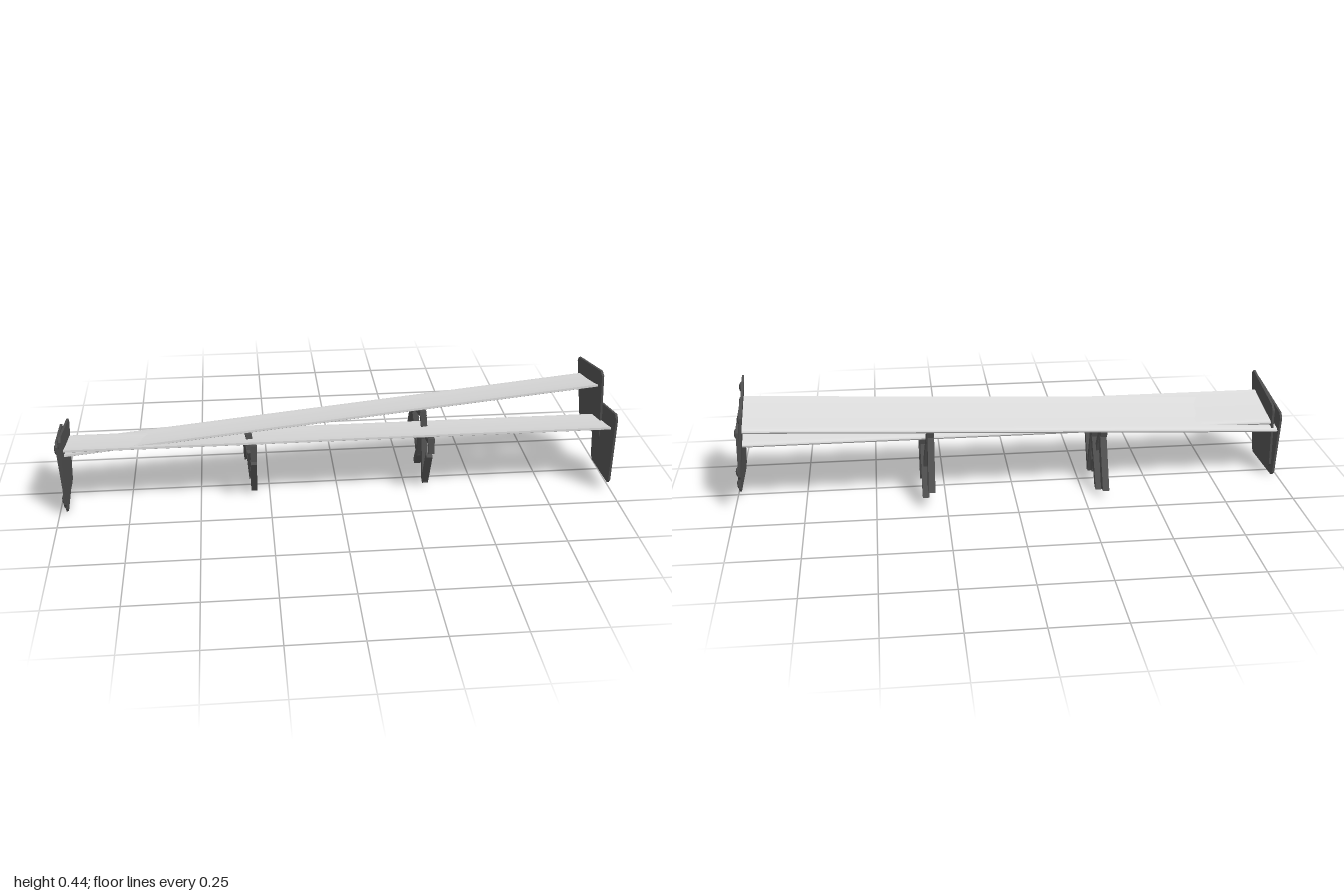
import * as THREE from 'three';

const lightSkin = new THREE.MeshStandardMaterial({ name: 'light grey', color: 0xdadada });
const dark = new THREE.MeshStandardMaterial({ name: 'dark grey', color: 0x4e4e4e });

// Points below are [z, y] pairs in the side plane.
const UPPER = [[-0.04, 0.21], [-0.036, 0.217], [-0.02, 0.222], [0.03, 0.23], [0.08, 0.24], [0.13, 0.251], [0.17, 0.262]];
const LOWER = [[0.17, 0.254], [0.135, 0.236], [0.09, 0.22], [0.04, 0.207], [0, 0.202], [-0.03, 0.202], [-0.04, 0.21]];
const PLATE = [[0.216, 0.316], [0.202, 0.33], [-0.037, 0.284], [-0.051, 0.266], [-0.042, 0.043], [-0.028, 0.028], [0.165, 0.035], [0.18, 0.052]];
const BOLTS = [[0.182, 0.293], [-0.024, 0.254], [0.15, 0.06], [-0.016, 0.053]];

function add(parent, name, geometry, material) {
  const mesh = new THREE.Mesh(geometry, material);
  mesh.name = name;
  parent.add(mesh);
  return mesh;
}

// A sheet along x that follows a side profile
function skin(profile) {
  const pts = new THREE.SplineCurve(profile.map(p => new THREE.Vector2(...p))).getPoints(20);
  const geo = new THREE.PlaneGeometry(1.945, 1, 1, 20);
  const pos = geo.attributes.position;
  for (let i = 0; i < pos.count; i++) {
    const p = pts[Math.floor(i / 2)];
    pos.setXYZ(i, pos.getX(i), p.y, p.x);
  }
  geo.computeVertexNormals();
  return geo;
}

// A slab cut from a side outline, centred on x = 0
function slab(points, thickness) {
  const shape = new THREE.Shape(points.map(([z, y]) => new THREE.Vector2(-z, y)));
  const geo = new THREE.ExtrudeGeometry(shape, { depth: thickness, bevelEnabled: false });
  return geo.translate(0, 0, -thickness / 2).rotateY(Math.PI / 2);
}

// A square bar between two side-plane points
function bar(parent, name, a, b, width, thick) {
  const dz = b[0] - a[0], dy = b[1] - a[1];
  const mesh = add(parent, name, new THREE.BoxGeometry(width, thick, Math.hypot(dz, dy)), dark);
  mesh.position.set(0, (a[1] + b[1]) / 2, (a[0] + b[0]) / 2);
  mesh.rotation.x = -Math.atan2(dy, dz);
}

function endPlate(side) {
  const g = new THREE.Group();
  g.name = side > 0 ? 'leftEndPlate' : 'rightEndPlate';
  const pivot = 0.18;
  add(g, 'plate', slab(PLATE.map(([z, y]) => [z, y - pivot]), 0.008), dark);
  // Low domed bolts on the outer face
  for (const [z, y] of BOLTS) {
    const bolt = add(g, 'bolt', new THREE.SphereGeometry(0.018, 8, 6), dark);
    bolt.scale.x = 0.45;
    bolt.position.set(side * 0.005, y - pivot, z);
  }
  // Plates lean inward at the top
  g.position.set(side * 0.976, pivot, 0);
  g.rotation.z = side * 0.035;
  return g;
}

function mount(side) {
  const g = new THREE.Group();
  g.name = side > 0 ? 'leftMount' : 'rightMount';
  bar(g, 'chordBar', [-0.03, 0.192], [0.165, 0.234], 0.024, 0.018);
  bar(g, 'frontTab', [0.16, 0.244], [0.166, 0.186], 0.022, 0.014);
  bar(g, 'frontLeg', [0, 0.198], [0.056, 0.014], 0.022, 0.022);
  bar(g, 'frontBrace', [0.052, 0.014], [0.128, 0.16], 0.022, 0.022);
  // Rear leg with a foot cut level with the floor
  const leg = add(g, 'rearLeg', slab([[0.035, 0.2], [0.005, 0.2], [-0.121, 0.012], [-0.092, 0.01]], 0.024), dark);
  leg.position.x = -0.004;
  g.position.x = side * 0.316 + 0.004;
  return g;
}

function wing(name) {
  const g = new THREE.Group();
  g.name = name;
  add(g, 'upperSkin', skin(UPPER), lightSkin);
  add(g, 'lowerSkin', skin(LOWER), lightSkin);
  const edge = add(g, 'trailingEdge', new THREE.PlaneGeometry(1.945, 0.008), lightSkin);
  edge.position.set(0, 0.258, 0.17);
  for (const side of [-1, 1]) g.add(endPlate(side), mount(side));
  return g;
}

export function createModel() {
  const model = new THREE.Group();
  model.name = 'twinWing';
  const level = wing('levelWing');
  level.position.x = 0.006;
  // Second wing, raised and swept back at one end
  const tilted = wing('tiltedWing');
  tilted.rotation.set(0, 0.0606, 0.0704);
  tilted.position.set(-0.003, 0.0425, -0.074);
  model.add(level, tilted);
  return model;
}
